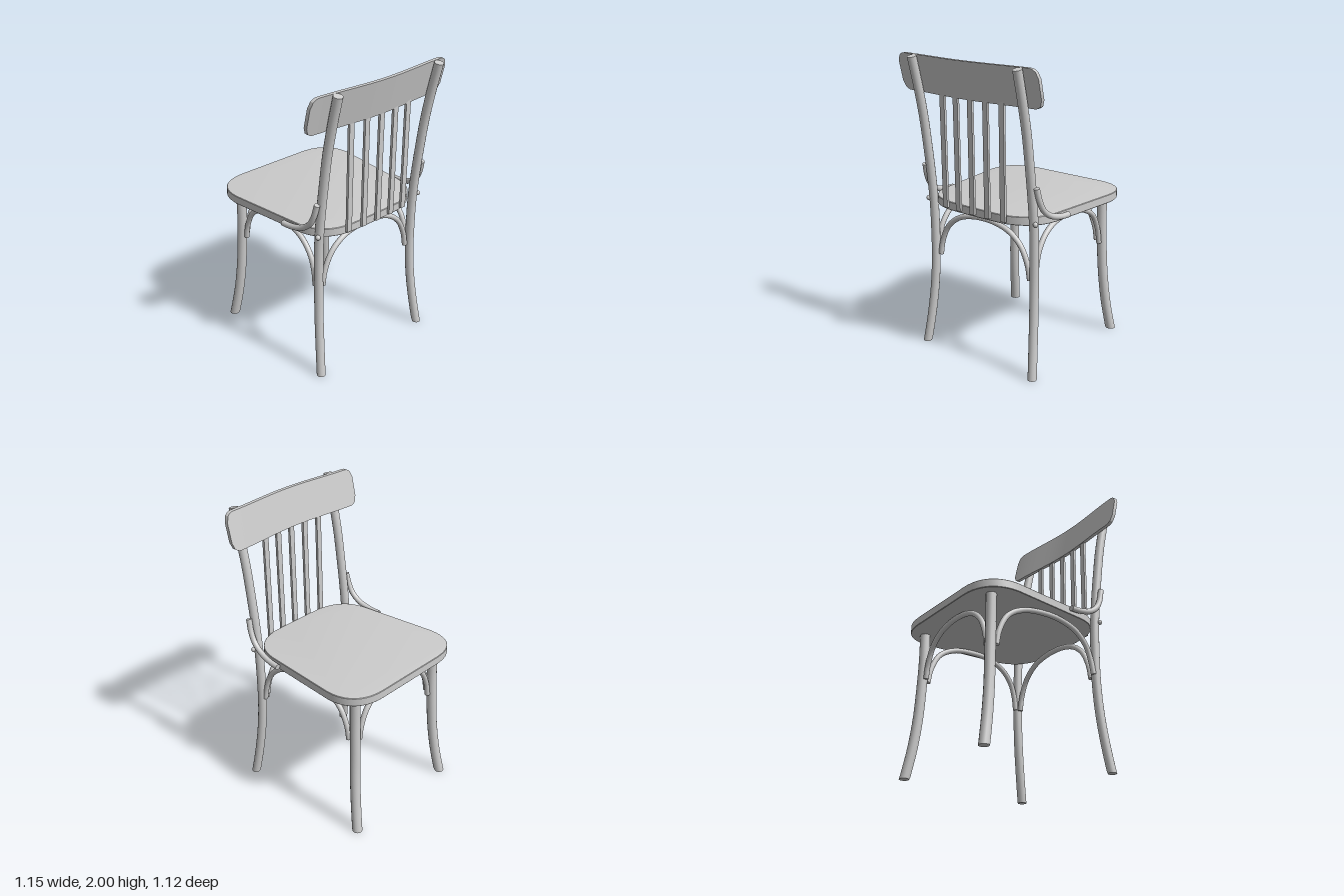
import * as THREE from 'three';
import { mergeGeometries, toCreasedNormals } from 'three/addons/utils/BufferGeometryUtils.js';

const material = new THREE.MeshStandardMaterial({ color: 0xcccccc });
const FRONT_Z = -0.013; // centre line of the front legs and seat
const BACK_Z = -0.025;  // centre line of the back posts, slats and braces

function add(parent, name, geometry) {
  const mesh = new THREE.Mesh(geometry, material);
  mesh.name = name;
  parent.add(mesh);
  return mesh;
}

// Round bent-wood rod through the points, capped at both ends, never below the floor
function rod(points, radius, segments = 32) {
  const curve = new THREE.CatmullRomCurve3(points.map(p => new THREE.Vector3(...p)));
  const pieces = [new THREE.TubeGeometry(curve, segments, radius, 14)];
  for (const [t, sign] of [[0, -1], [1, 1]]) {
    const cap = new THREE.CircleGeometry(radius, 14);
    const out = curve.getTangent(t).multiplyScalar(sign);
    cap.applyQuaternion(new THREE.Quaternion().setFromUnitVectors(new THREE.Vector3(0, 0, 1), out));
    const p = curve.getPoint(t);
    pieces.push(cap.translate(p.x, p.y, p.z));
  }
  const geometry = mergeGeometries(pieces);
  const pos = geometry.attributes.position;
  for (let i = 0; i < pos.count; i++) pos.setY(i, Math.max(0, pos.getY(i)));
  return geometry;
}

// Rounded, tapering seat board
function seatGeometry() {
  const s = new THREE.Shape();
  s.moveTo(-0.575, -0.28);
  s.bezierCurveTo(-0.575, -0.44, -0.49, -0.535, -0.33, -0.528);
  s.lineTo(0.2, -0.487);
  s.bezierCurveTo(0.36, -0.47, 0.43, -0.36, 0.447, -0.24);
  s.quadraticCurveTo(0.457, -0.02, 0.447, 0.2);
  s.bezierCurveTo(0.43, 0.33, 0.36, 0.425, 0.2, 0.437);
  s.lineTo(-0.33, 0.498);
  s.bezierCurveTo(-0.49, 0.505, -0.575, 0.41, -0.575, 0.25);
  s.closePath();
  const g = new THREE.ExtrudeGeometry(s, {
    depth: 0.05, curveSegments: 10, bevelThickness: 0.005,
    bevelSize: 0.01, bevelOffset: -0.01, bevelSegments: 2,
  });
  g.rotateX(Math.PI / 2).translate(0, 1.055, 0);
  return toCreasedNormals(g, 0.5);
}

// Back board: rounded corners, leaning back and bowed along its length
function backBoardGeometry() {
  const half = 0.56, height = 0.245, r = 0.06;
  const g = new THREE.BoxGeometry(0.026, height, half * 2, 1, 1, 72);
  const pos = g.attributes.position;
  for (let i = 0; i < pos.count; i++) {
    const z = pos.getZ(i);
    const d = Math.max(0, Math.abs(z) - (half - r));
    const h = height / 2 - r + Math.sqrt(Math.max(0, r * r - d * d));
    const y = Math.sign(pos.getY(i)) * h;
    const bow = 0.035 * Math.cos((z / half) * Math.PI / 2) ** 2;
    pos.setXYZ(i, pos.getX(i) + 0.468 + 0.24 * y + bow, 1.877 + y, z);
  }
  return toCreasedNormals(g, 0.5);
}

export function createModel() {
  const chair = new THREE.Group();
  chair.name = 'chair';
  add(chair, 'seat', seatGeometry());
  add(chair, 'backBoard', backBoardGeometry());

  // Profiles as [x, y, distance from the centre line]
  const frontLeg = [[-0.523, -0.012, 0.438], [-0.487, 0.2, 0.415], [-0.465, 0.4, 0.4],
    [-0.455, 0.6, 0.39], [-0.448, 0.8, 0.385], [-0.447, 1.01, 0.385]];
  const backPost = [[0.442, -0.012, 0.46], [0.41, 0.2, 0.441], [0.387, 0.4, 0.428],
    [0.376, 0.6, 0.421], [0.375, 0.8, 0.42], [0.381, 1, 0.42], [0.4, 1.2, 0.42],
    [0.426, 1.4, 0.42], [0.456, 1.6, 0.42], [0.498, 1.8, 0.42], [0.545, 1.992, 0.42]];
  const handBrace = [[0.12, 1.034, 0.492], [0.2, 1.04, 0.488], [0.29, 1.066, 0.48],
    [0.355, 1.115, 0.474], [0.39, 1.18, 0.47], [0.412, 1.265, 0.463]];
  const sideArch = [[-0.405, 0.67, 0.39], [-0.385, 0.77, 0.39], [-0.32, 0.89, 0.392],
    [-0.2, 0.96, 0.395], [-0.04, 0.983, 0.4], [0.1, 0.974, 0.402], [0.22, 0.927, 0.408],
    [0.3, 0.84, 0.412], [0.335, 0.74, 0.415], [0.35, 0.65, 0.42]];

  for (const [side, sign] of [['left', -1], ['right', 1]]) {
    const place = (profile, centre) => profile.map(([x, y, d]) => [x, y, centre + sign * d]);
    add(chair, side + 'FrontLeg', rod(place(frontLeg, FRONT_Z), 0.034));
    add(chair, side + 'BackPost', rod(place(backPost, BACK_Z), 0.03, 48));
    add(chair, side + 'HandBrace', rod(place(handBrace, BACK_Z), 0.019));
    add(chair, side + 'Arch', rod(place(sideArch, -0.018), 0.018, 40));
    // Screw holding the post to the seat
    const screw = add(chair, side + 'Screw', new THREE.SphereGeometry(0.017, 12, 8));
    screw.position.set(0.402, 1.03, BACK_Z + sign * 0.448);
  }

  // Arches joining the legs across the front and back
  const arch = (x, centre, half, foot, top) => rod(
    [[1, 0], [0.95, 0.3], [0.8, 0.65], [0.55, 0.88], [0.25, 0.98], [0, 1],
      [-0.25, 0.98], [-0.55, 0.88], [-0.8, 0.65], [-0.95, 0.3], [-1, 0]]
      .map(([u, v]) => [x, foot + v * (top - foot), centre + u * half]), 0.018, 44);
  add(chair, 'frontArch', arch(-0.45, FRONT_Z, 0.345, 0.67, 0.98));
  add(chair, 'backArch', arch(0.368, BACK_Z, 0.38, 0.64, 0.968));

  // Flat slats between the seat and the back board
  for (let i = -2; i <= 2; i++) {
    const slat = add(chair, 'slat', new THREE.BoxGeometry(0.018, 0.76, 0.038));
    slat.position.set(0.473 - 0.003 * i * i, 1.4, BACK_Z + i * 0.12);
    slat.rotation.z = -0.012;
  }
  return chair;
}
